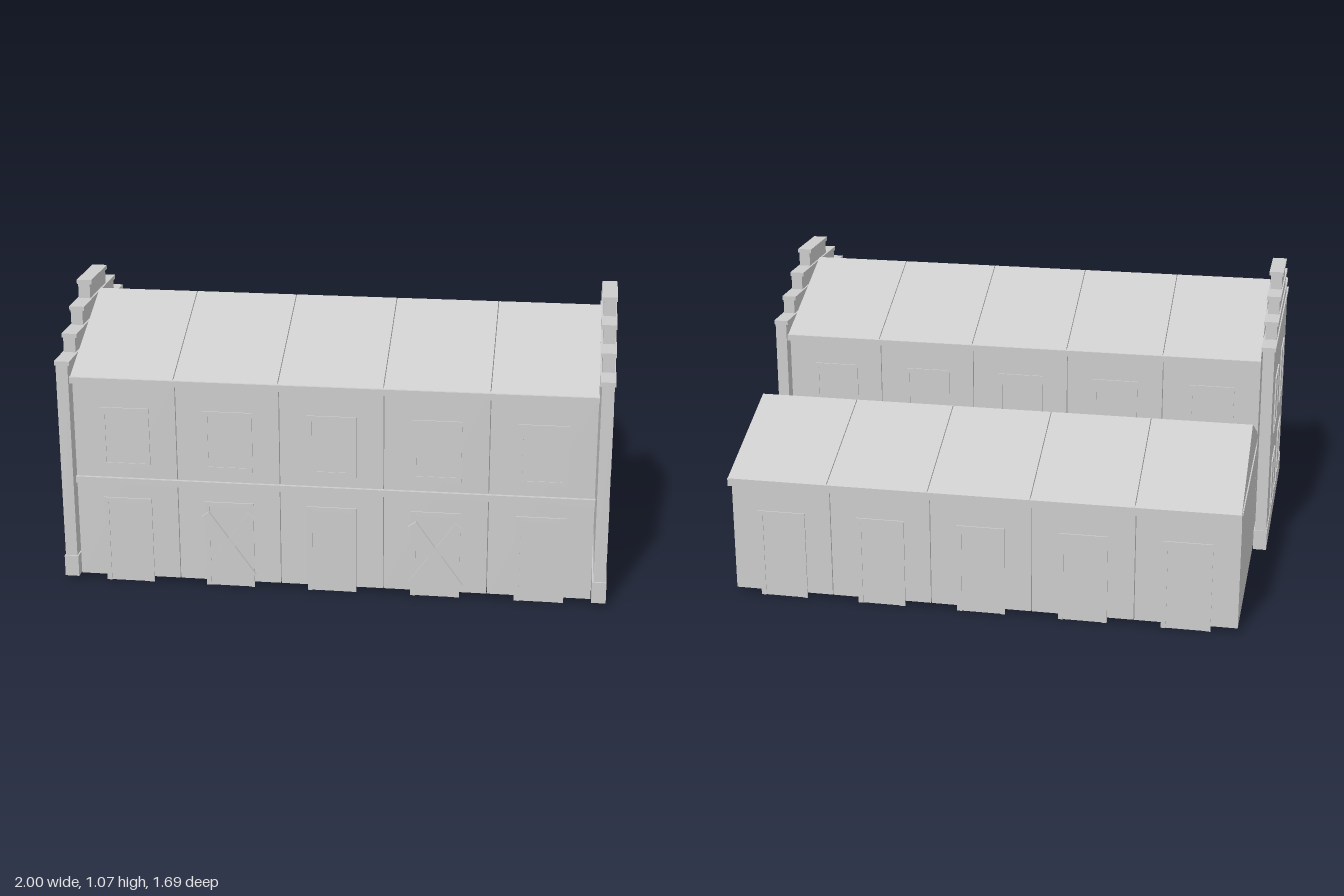
import * as THREE from 'three';

const stone = new THREE.MeshStandardMaterial({ color: 0xcccccc });
stone.name = 'pale grey';

const BAY = 0.378, GAP = 0.003, HALF = 0.945;

export function createModel() {
  const model = new THREE.Group();
  model.name = 'steppedGableWarehouse';

  const add = (name, geo, parent = model) => {
    const m = new THREE.Mesh(geo, stone);
    m.name = name;
    parent.add(m);
    return m;
  };
  // box given by its min and max on each axis
  const box = (name, x0, x1, y0, y1, z0, z1, parent) => {
    const g = new THREE.BoxGeometry(x1 - x0, y1 - y0, z1 - z0);
    g.translate((x0 + x1) / 2, (y0 + y1) / 2, (z0 + z1) / 2);
    return add(name, g, parent);
  };
  // profile of [z, y] points drawn out along x
  const alongX = (name, pts, x0, x1, parent) => {
    const shape = new THREE.Shape(pts.map(p => new THREE.Vector2(p[0], p[1])));
    const g = new THREE.ExtrudeGeometry(shape, { depth: x1 - x0, bevelEnabled: false });
    g.rotateY(-Math.PI / 2);
    g.translate(x1, 0, 0);
    return add(name, g, parent);
  };
  // thin framed panel facing +z, centred on x, standing on y = 0
  const opening = (name, w, h, isDoor) => {
    const g = new THREE.Group();
    g.name = name;
    const t = 0.018, a = w / 2, b = isDoor ? 0 : t;
    const frame = new THREE.Shape([[-a, 0], [a, 0], [a, h], [-a, h]].map(p => new THREE.Vector2(...p)));
    if (b) {
      frame.holes.push(new THREE.Path([[-a + t, t], [-a + t, h - t], [a - t, h - t], [a - t, t]]
        .map(p => new THREE.Vector2(...p))));
      add('frame', new THREE.ExtrudeGeometry(frame, { depth: 0.005, bevelEnabled: false }), g);
    } else {
      box('leftPost', a - t, a, 0, h, 0, 0.005, g);
      box('rightPost', -a, -a + t, 0, h, 0, 0.005, g);
      box('lintel', -a + t, a - t, h - t, h, 0, 0.005, g);
    }
    box('panel', -a + t, a - t, b, h - t, 0, 0.002, g);
    model.add(g);
    return g;
  };
  const place = (g, x, y, z, ry = 0) => {
    g.position.set(x, y, z);
    g.rotation.y = ry;
  };

  // five repeated bays: hall, rear wing, doors and windows
  for (let i = -2; i <= 2; i++) {
    const x = i * BAY, x0 = x - (BAY - GAP) / 2, x1 = x + (BAY - GAP) / 2;
    alongX('hallBay', [[0.81, 0.02], [0.81, 0.79], [-0.05, 0.79], [-0.05, 0.02]], x0, x1);
    alongX('hallRoof', [[0.835, 0.79], [0.835, 0.80], [0.38, 1.005], [-0.075, 0.80], [-0.075, 0.79]], x0, x1);
    box('wingBay', x0, x1, 0.02, 0.443, -0.804, -0.052);
    alongX('wingRoof', [[-0.07, 0.475], [-0.07, 0.51], [-0.41, 0.66], [-0.843, 0.475]], x0, x1);

    place(opening('frontDoor', 0.18, 0.33, true), x, 0, 0.81);
    place(opening('frontWindow', 0.18, 0.23, false), x, 0.45, 0.81);
    place(opening('rearDoor', 0.18, 0.34, true), x, 0, -0.804, Math.PI);
    place(opening('rearWindow', 0.18, 0.2, false), x, 0.48, -0.05, Math.PI);
  }

  // horizontal bands
  box('frontStringCourse', -HALF, HALF, 0.385, 0.41, 0.805, 0.822);
  box('frontCornice', -HALF, HALF, 0.777, 0.80, 0.805, 0.845);
  box('rearCornice', -HALF, HALF, 0.777, 0.80, -0.082, -0.045);
  box('wingCornice', -HALF, HALF, 0.445, 0.475, -0.843, -0.798);

  // crossed planks over two front doors
  for (const x of [-0.38, 0.38]) {
    for (const s of [-1, 1]) {
      const plank = add('crossedPlank', new THREE.BoxGeometry(0.035, 0.295, 0.012));
      plank.position.set(x, 0.165, s > 0 ? 0.822 : 0.82);
      plank.rotation.z = s * 0.62;
    }
  }

  // stepped end walls: [half depth, top height] of each step about z = 0.38
  const steps = [[0.455, 0.855], [0.342, 0.925], [0.228, 0.995], [0.113, 1.065]];
  for (const s of [-1, 1]) {
    const wall = new THREE.Group();
    wall.name = s > 0 ? 'leftGableWall' : 'rightGableWall';
    model.add(wall);
    const side = (name, a, b, y0, y1, z0, z1) =>
      box(name, Math.min(s * a, s * b), Math.max(s * a, s * b), y0, y1, z0, z1, wall);
    let base = 0.02;
    for (const [half, top] of steps) {
      side('gableStep', 0.951, 0.995, base, top - 0.016, 0.38 - half, 0.38 + half);
      side('stepCap', 0.944, 1, top - 0.016, top, 0.38 - half, 0.38 + half);
      base = top;
    }
    side('plinth', 0.946, 0.998, 0.02, 0.1, -0.079, 0.842);
    for (const z of [0.57, 0.19]) {
      for (const y of [0.1, 0.45]) {
        place(opening('gableWindow', 0.18, 0.23, false), s * 0.995, y, z, s * Math.PI / 2);
      }
    }
  }
  return model;
}
